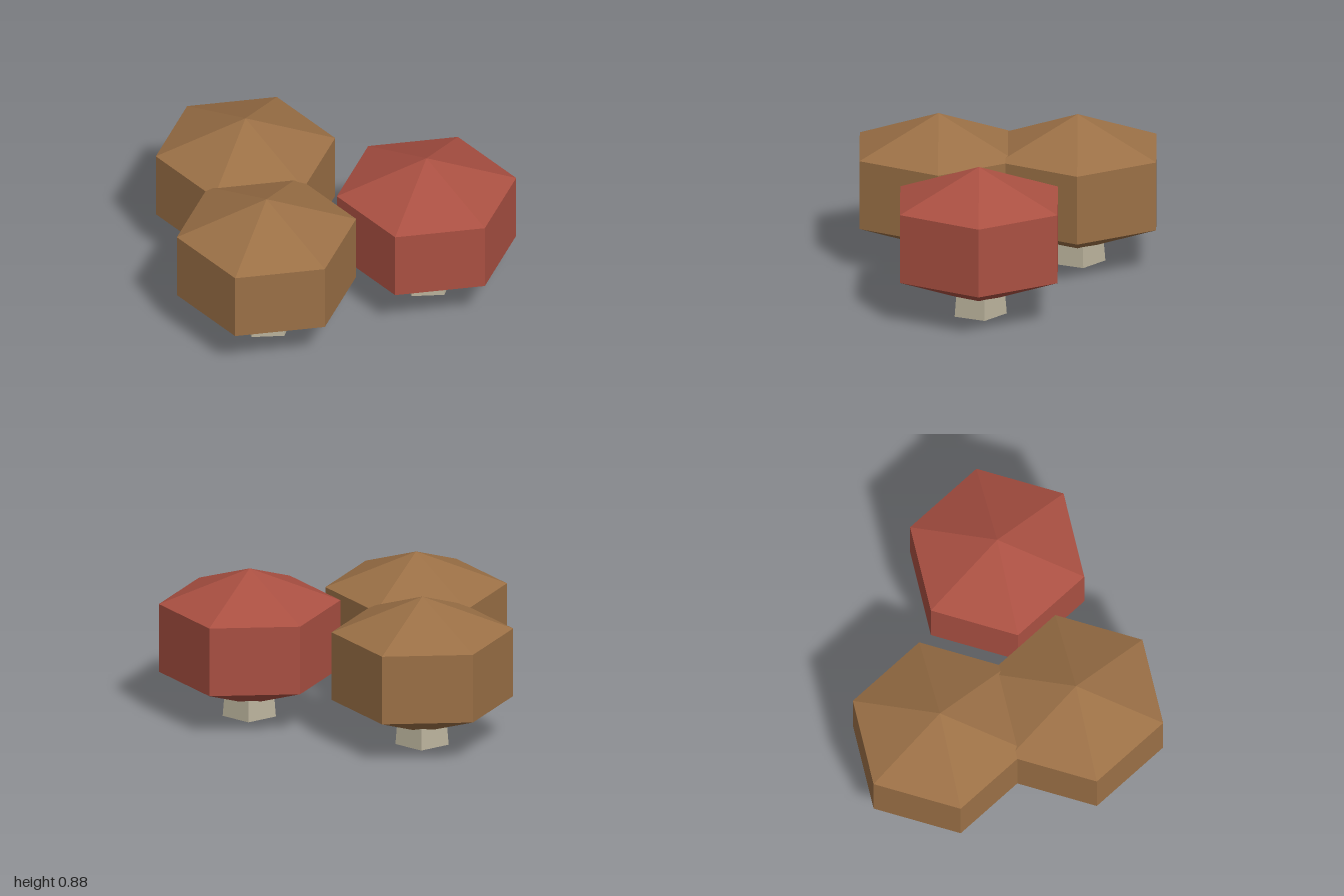
import * as THREE from 'three';

function material(name, color, side = THREE.FrontSide) {
  const m = new THREE.MeshStandardMaterial({ color, side, flatShading: true });
  m.name = name;
  return m;
}

export function createModel() {
  const brown = material('brown cap', 0x9b7046);
  const red = material('red cap', 0xaa5042);
  const beige = material('beige stem', 0xb8b09a, THREE.DoubleSide);

  // Six-sided faceted cap: a cone above and below a straight band
  const capGeometry = new THREE.SphereGeometry(0.6, 6, 3);
  capGeometry.scale(1, 0.68, 1);
  capGeometry.translate(0, 0.467, 0);

  // Five-sided hollow stem, tapering up into the cap
  const stemGeometry = new THREE.CylinderGeometry(0.13, 0.16, 0.36, 5, 1, true, Math.PI / 2);
  stemGeometry.translate(0, 0.18, 0);

  const model = new THREE.Group();
  model.name = 'mushroomCluster';

  const mushrooms = [
    ['leftBackMushroom', 0.48, -0.478, red],
    ['rightMushroom', -0.48, 0.067, brown],
    ['frontMushroom', 0.2, 0.478, brown],
  ];
  for (const [name, x, z, capMaterial] of mushrooms) {
    const mushroom = new THREE.Group();
    mushroom.name = name;
    mushroom.position.set(x, 0, z);

    const cap = new THREE.Mesh(capGeometry, capMaterial);
    cap.name = 'cap';
    const stem = new THREE.Mesh(stemGeometry, beige);
    stem.name = 'stem';

    mushroom.add(cap, stem);
    model.add(mushroom);
  }
  return model;
}
